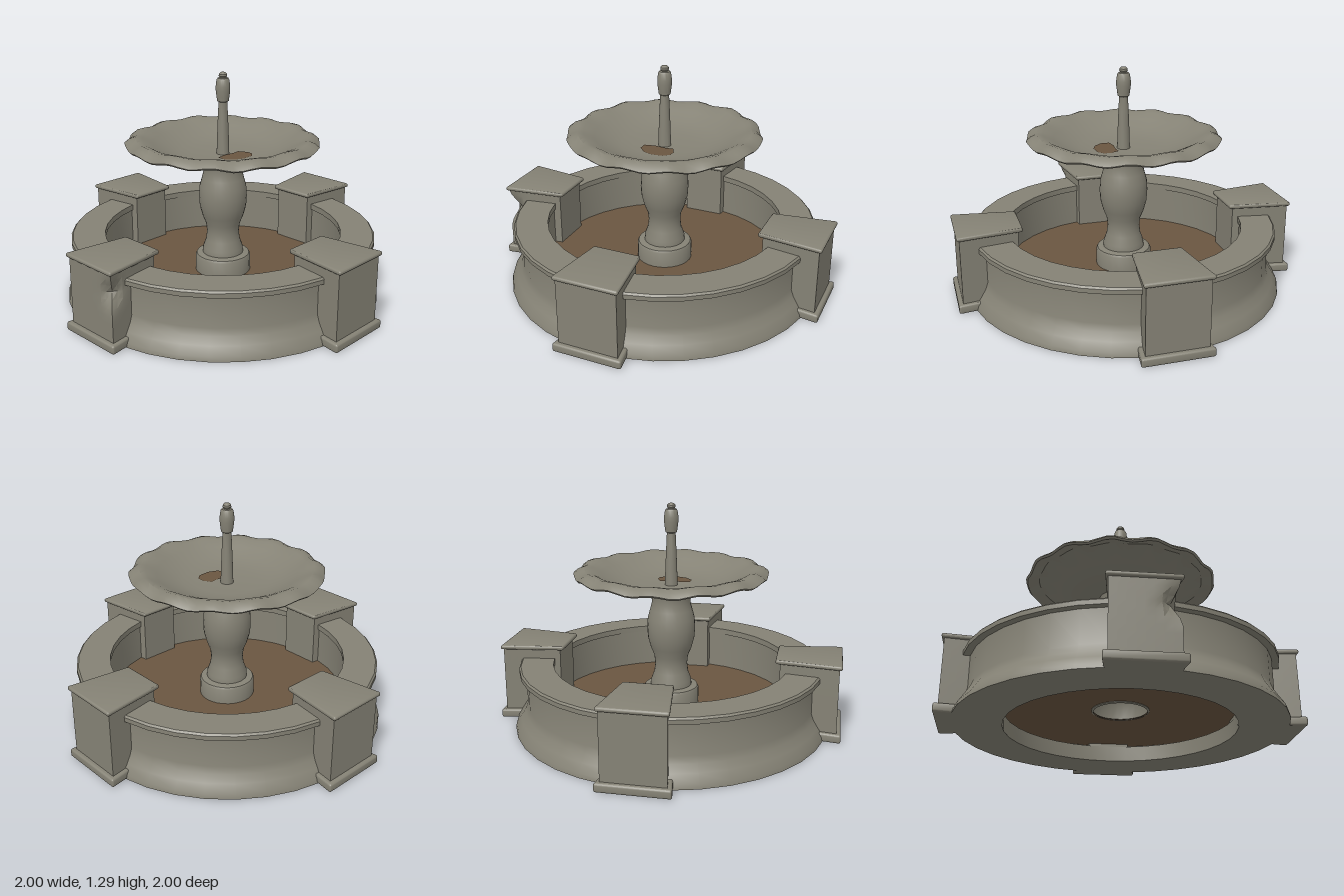
import * as THREE from 'three';
import { toCreasedNormals } from 'three/addons/utils/BufferGeometryUtils.js';
import { RoundedBoxGeometry } from 'three/addons/geometries/RoundedBoxGeometry.js';

const stone = new THREE.MeshStandardMaterial({ color: 0x858275, side: THREE.DoubleSide });
stone.name = 'weathered stone';
const dirt = new THREE.MeshStandardMaterial({ color: 0x6a5641, side: THREE.DoubleSide });
dirt.name = 'brown silt';

function part(name, geometry, material = stone) {
  const mesh = new THREE.Mesh(geometry, material);
  mesh.name = name;
  return mesh;
}

// Turned stone part from [radius, height] pairs, listed counter-clockwise
function turned(name, profile, segments, rule) {
  const geo = new THREE.LatheGeometry(profile.map(([r, y]) => new THREE.Vector2(r, y)), segments);
  if (rule) moveVertices(geo, rule);
  return part(name, toCreasedNormals(geo, 0.6));
}

function moveVertices(geo, rule) {
  const pos = geo.attributes.position;
  const v = new THREE.Vector3();
  for (let i = 0; i < pos.count; i++) {
    rule(v.fromBufferAttribute(pos, i));
    pos.setXYZ(i, v.x, v.y, v.z);
  }
}

// Wedge-shaped block reaching outward along z, narrower toward the pool
function wedge(name, { inner, outer, halfIn, halfOut, y0, y1, round = 0, chipped = false }) {
  const size = [2 * halfOut, y1 - y0, outer - inner];
  const geo = round ? new RoundedBoxGeometry(...size, 2, round) : new THREE.BoxGeometry(...size, 8, 10, 8);
  geo.translate(0, (y0 + y1) / 2, (inner + outer) / 2);
  const chip = new THREE.Vector3(halfOut, 0.31, outer);
  moveVertices(geo, (v) => {
    // Broken outer corner
    const d = v.distanceTo(chip);
    if (chipped && d < 0.1) {
      const push = 0.045 * (1 - d / 0.1);
      v.x -= push;
      v.z -= push;
    }
    const t = (v.z - inner) / (outer - inner);
    v.x *= THREE.MathUtils.lerp(halfIn / halfOut, 1, t);
  });
  return part(name, toCreasedNormals(geo, 0.45));
}

function pillar(angle, chipped) {
  const g = new THREE.Group();
  g.name = 'pillar';
  g.add(
    wedge('pillarPlinth', { inner: 0.72, outer: 1, halfIn: 0.155, halfOut: 0.2, y0: 0, y1: 0.05, round: 0.012 }),
    wedge('pillarBody', { inner: 0.645, outer: 0.975, halfIn: 0.12, halfOut: 0.172, y0: 0.03, y1: 0.43, chipped }),
    wedge('pillarCap', { inner: 0.62, outer: 0.99, halfIn: 0.136, halfOut: 0.187, y0: 0.425, y1: 0.45, round: 0.011 }),
  );
  g.rotation.y = angle;
  return g;
}

export function createModel() {
  const model = new THREE.Group();
  model.name = 'fountain';

  // Pool wall with sloped foot and overhanging coping
  model.add(turned('basinWall', [
    [0.645, 0], [0.92, 0], [0.915, 0.025], [0.885, 0.07], [0.86, 0.11], [0.845, 0.15],
    [0.845, 0.335], [0.885, 0.335], [0.885, 0.36], [0.875, 0.37], [0.69, 0.37],
    [0.69, 0.335], [0.7, 0.335], [0.7, 0.1], [0.645, 0.09], [0.645, 0],
  ], 36));

  // Four pillars around the pool; the one on the right has a broken corner
  for (let i = 0; i < 4; i++) model.add(pillar(i * Math.PI / 2, i === 3));

  // Silt on the pool floor, open beneath the pedestal
  const floor = new THREE.RingGeometry(0.15, 0.7, 36).rotateX(-Math.PI / 2).translate(0, 0.108, 0);
  model.add(part('poolSilt', floor, dirt));

  // Pedestal: round base and baluster
  model.add(turned('pedestalBase', [
    [0.15, 0.1], [0.162, 0.105], [0.162, 0.2], [0.155, 0.213], [0.13, 0.22], [0.1, 0.22],
  ], 28));
  model.add(turned('baluster', [
    [0.12, 0.22], [0.118, 0.25], [0.1, 0.3], [0.094, 0.35], [0.1, 0.4], [0.12, 0.45], [0.136, 0.51],
    [0.14, 0.57], [0.136, 0.63], [0.122, 0.68], [0.112, 0.72], [0.114, 0.76], [0.124, 0.805],
  ], 28));

  // Upper bowl with a drooping, scalloped lip
  const bowl = turned('upperBowl', [
    [0, 0.798], [0.13, 0.798], [0.23, 0.803], [0.29, 0.82], [0.36, 0.85], [0.42, 0.878], [0.48, 0.9],
    [0.545, 0.88], [0.555, 0.89], [0.53, 0.912], [0.495, 0.925], [0.46, 0.918], [0.4, 0.89],
    [0.32, 0.852], [0.25, 0.833], [0.18, 0.825], [0, 0.822],
  ], 72, (v) => {
    const r = Math.hypot(v.x, v.z);
    const a = Math.atan2(v.x, v.z);
    const edge = Math.max(0, (r - 0.42) / 0.13);
    const wave = Math.cos(14 * a) + 0.35 * Math.sin(5 * a + 1);
    v.y += 0.009 * edge * wave;
    const k = 1 + 0.008 * edge * wave;
    v.x *= k;
    v.z *= k;
  });
  model.add(bowl);

  // Silt patch lying in the bowl
  const patch = new THREE.Shape([
    [-0.1, 0.06], [-0.04, 0.048], [0.03, 0.055], [0.075, 0.05], [0.1, 0.1],
    [0.095, 0.14], [0.06, 0.17], [-0.01, 0.175], [-0.06, 0.155], [-0.1, 0.11],
  ].map(([x, z]) => new THREE.Vector2(x, -z)));
  const patchGeo = new THREE.ShapeGeometry(patch).rotateX(-Math.PI / 2).translate(0, 0.829, 0);
  model.add(part('bowlSilt', patchGeo, dirt));

  // Central spout with bulb and ball tip
  model.add(turned('spout', [
    [0.037, 0.815], [0.034, 0.92], [0.029, 1.04], [0.025, 1.125], [0.033, 1.13], [0.036, 1.15],
    [0.041, 1.19], [0.041, 1.215], [0.036, 1.25], [0.03, 1.26], [0.018, 1.262], [0.024, 1.272],
    [0.023, 1.283], [0.014, 1.292], [0, 1.295],
  ], 20));

  return model;
}
